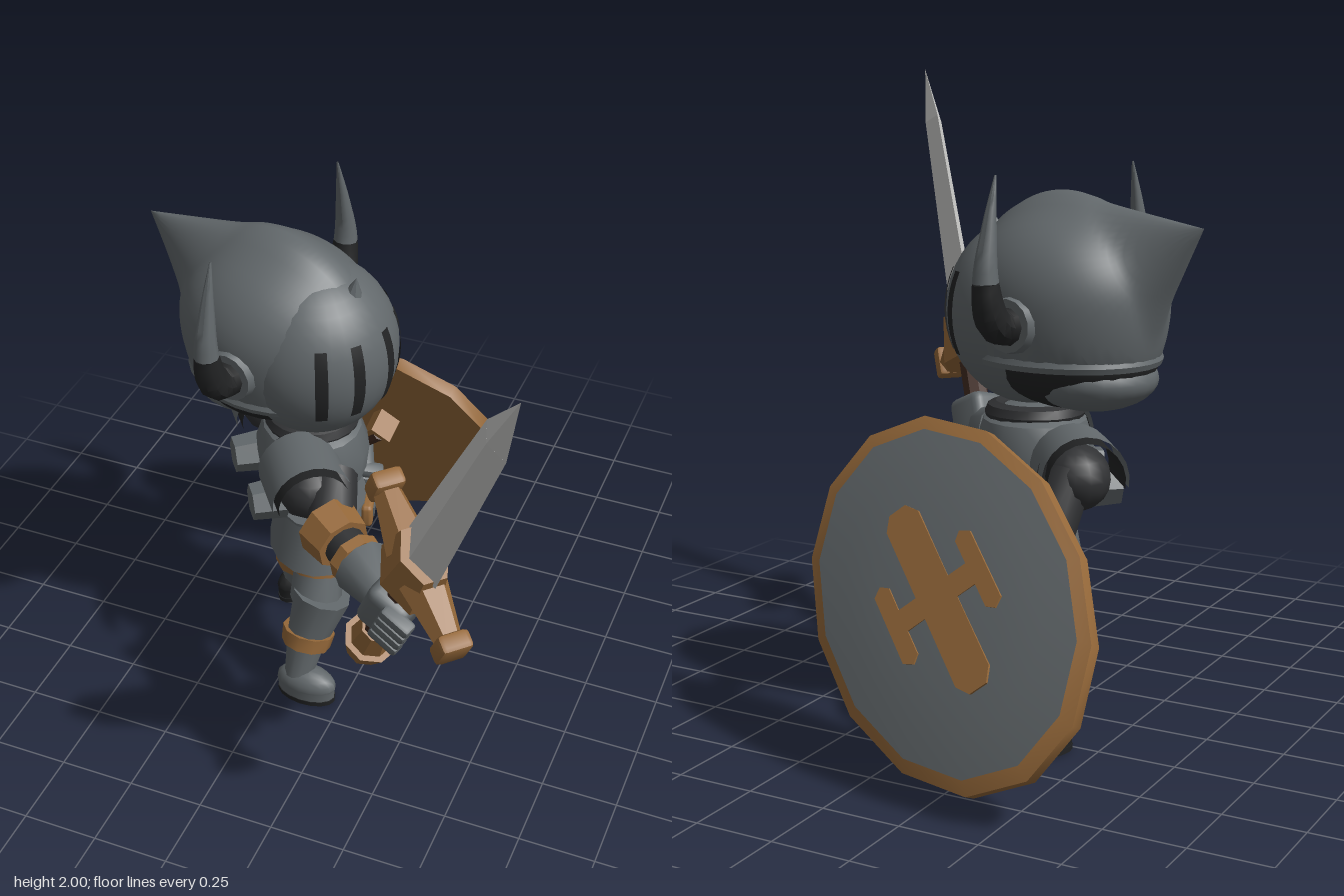
import * as THREE from 'three';
import { toCreasedNormals } from 'three/addons/utils/BufferGeometryUtils.js';
import { RoundedBoxGeometry } from 'three/addons/geometries/RoundedBoxGeometry.js';

const V = (x, y, z) => new THREE.Vector3(x, y, z);
const paint = (name, color, side = THREE.FrontSide) => Object.assign(new THREE.MeshStandardMaterial({ color, side }), { name });
const M = {
  armor: paint('armor grey', 0x62686b, THREE.DoubleSide),
  cloth: paint('dark cloth', 0x303133),
  black: paint('black', 0x222324, THREE.DoubleSide),
  bronze: paint('bronze', 0x96693a),
  leather: paint('leather', 0x432c22),
  blade: paint('blade steel', 0xcacac8),
};

function add(parent, name, geo, mat, x = 0, y = 0, z = 0) {
  const m = new THREE.Mesh(toCreasedNormals(geo, 0.65), mat);
  m.name = name;
  m.position.set(x, y, z);
  parent.add(m);
  return m;
}
function group(parent, name) {
  const g = new THREE.Group();
  g.name = name;
  parent.add(g);
  return g;
}
const ball = (rx, ry, rz, w = 24, h = 16) => new THREE.SphereGeometry(1, w, h).scale(rx, ry, rz);

// Tapered cylinder running from a to b
function limb(parent, name, a, b, r1, r2, mat, sides = 12) {
  const m = add(parent, name, new THREE.CylinderGeometry(r2, r1, a.distanceTo(b), sides), mat);
  m.position.copy(a).lerp(b, 0.5);
  m.quaternion.setFromUnitVectors(V(0, 1, 0), b.clone().sub(a).normalize());
  return m;
}
// Short ring around the line a-b, from fraction t0 to t1
const band = (parent, name, a, b, t0, t1, r1, r2, mat, sides = 10) =>
  limb(parent, name, a.clone().lerp(b, t0), a.clone().lerp(b, t1), r1, r2, mat, sides);

// Tube along part of a curve with a changing radius
function taperTube(points, t0, t1, radius) {
  const full = new THREE.CatmullRomCurve3(points), n = 10, sides = 10;
  const part = new THREE.CatmullRomCurve3(Array.from({ length: n + 1 }, (_, i) => full.getPoint(t0 + (t1 - t0) * i / n)));
  const geo = new THREE.TubeGeometry(part, n, 1, sides), p = geo.attributes.position;
  for (let i = 0; i < p.count; i++) {
    const t = Math.floor(i / (sides + 1)) / n, c = part.getPointAt(t);
    const v = V(0, 0, 0).fromBufferAttribute(p, i).sub(c).multiplyScalar(radius(t0 + (t1 - t0) * t)).add(c);
    p.setXYZ(i, v.x, v.y, v.z);
  }
  return geo;
}

function buildHead(root) {
  const head = group(root, 'helmet');
  head.position.set(-0.3, 1.36, -0.09);
  head.rotation.y = -0.17;

  // Dome with a low ridge, drawn out to a narrow swept-back point
  const dome = new THREE.SphereGeometry(1, 40, 44).rotateZ(1.117), p = dome.attributes.position;
  const axis = V(-0.899, 0.438, 0);
  for (let i = 0; i < p.count; i++) {
    const d = V(0, 0, 0).fromBufferAttribute(p, i);
    const away = Math.hypot(d.angleTo(axis), 1.6 * d.z);
    const w = Math.max(0, 1 - away / 0.75) ** 1.6;
    const ridge = 0.045 * Math.max(0, d.y) * Math.exp(-((d.z / 0.3) ** 2));
    p.setXYZ(i, d.x * 0.33 - 0.185 * w, Math.max(-0.19, d.y * (d.y < 0 ? 0.42 : 0.275) + ridge + 0.095 * w), d.z * 0.28);
  }
  add(head, 'dome', dome, M.armor);
  add(head, 'domeRim', new THREE.TorusGeometry(1, 0.05, 6, 32).rotateX(Math.PI / 2).scale(0.295, 0.4, 0.252), M.armor, 0, -0.175, 0);
  add(head, 'neckLining', ball(0.27, 0.165, 0.235), M.black, -0.03, -0.17, 0);
  add(head, 'neckGuard', ball(0.2, 0.1, 0.2), M.armor, -0.1, -0.235, 0);

  // Visor with eye slits
  const visor = group(head, 'visor');
  visor.position.set(0.13, -0.05, 0);
  add(visor, 'visorShell', ball(0.265, 0.29, 0.262, 32, 20), M.armor);
  const peak = add(visor, 'visorPeak', new THREE.ConeGeometry(0.06, 0.13, 8), M.armor, 0.14, 0.225, 0);
  peak.rotation.z = -0.2;
  for (const a of [-1.03, -0.57, -0.06, 0.47, 0.93])
    add(visor, 'eyeSlit', new THREE.SphereGeometry(1, 3, 8, Math.PI - a - 0.075, 0.15, 1.13, 0.89).scale(0.269, 0.294, 0.266), M.black);

  // Horns
  for (const s of [1, -1]) {
    const pts = [[-0.06, 0.25], [-0.04, 0.35], [0.08, 0.39], [0.23, 0.375], [0.385, 0.345]].map(([y, z]) => V(0, y, s * z));
    const r = t => 0.003 + 0.056 * (1 - Math.min(1, t) ** 1.5);
    add(head, 'hornBase', taperTube(pts, 0, 0.5, r), M.black);
    add(head, 'hornTip', taperTube(pts, 0.5, 1, r), M.armor);
    limb(head, 'hornSocket', V(0, -0.055, s * 0.2), V(0, -0.055, s * 0.295), 0.1, 0.08, M.armor, 14);
  }
}

// Half-round shell whose axis runs along z
const arch = (r, length) => new THREE.CylinderGeometry(r, r, length, 12, 1, true, Math.PI - 1.75, 3.5).rotateX(Math.PI / 2);

function buildBody(root) {
  // Chest twisted towards the shield side
  const chest = group(root, 'chest');
  chest.position.set(-0.2, 0, -0.1);
  chest.rotation.y = 0.65;
  add(chest, 'waist', new THREE.CylinderGeometry(0.155, 0.14, 0.18, 16).scale(1, 1, 1.1), M.cloth, 0, 0.75, 0);
  const plate = [[0.15, 0.79], [0.175, 0.81], [0.185, 0.9], [0.16, 0.98], [0.1, 1.02], [0, 1.03]].map(([x, y]) => new THREE.Vector2(x, y));
  add(chest, 'breastplate', new THREE.LatheGeometry(plate, 16).scale(1, 1, 1.1), M.armor);
  add(chest, 'collar', new THREE.TorusGeometry(0.12, 0.035, 8, 20).rotateX(Math.PI / 2), M.cloth, 0, 1.0, 0);
  for (const s of [1, -1]) {
    // Arched shoulder plates with a dark lining
    const z = s > 0 ? 0.22 : -0.3, y = s > 0 ? 0.905 : 0.87;
    add(chest, 'pauldron', arch(0.13, 0.2), M.armor, -0.08, y, z);
    add(chest, 'pauldronLining', arch(0.115, 0.24), M.black, -0.08, y, z);
    add(chest, 'shoulder', ball(0.105, 0.1, 0.12, 14, 10), M.cloth, -0.07, y - 0.01, z);
    limb(chest, 'backKnob', V(-0.13, 0.79, s * 0.13), V(-0.24, 0.79, s * 0.13), 0.07, 0.06, M.armor, 6);
  }

  // Hips, split skirt and belt
  const hips = group(root, 'hips');
  hips.position.set(-0.17, 0, -0.1);
  hips.rotation.y = 0.28;
  add(hips, 'shorts', new THREE.CylinderGeometry(0.13, 0.11, 0.2, 12).scale(1, 1, 1.25), M.cloth, 0, 0.58, 0);
  add(hips, 'skirt', new THREE.CylinderGeometry(0.148, 0.178, 0.165, 14, 1, true, Math.PI / 2 + 0.42, Math.PI * 2 - 0.84).scale(1, 1, 1.32), M.armor, 0, 0.6, 0);
  add(hips, 'belt', new THREE.CylinderGeometry(0.15, 0.152, 0.04, 14).scale(1, 1, 1.28), M.armor, 0, 0.67, 0);
  add(hips, 'buckle', new RoundedBoxGeometry(0.04, 0.085, 0.14, 2, 0.015), M.bronze, 0.155, 0.645, 0);
  add(hips, 'bucklePlate', new THREE.BoxGeometry(0.008, 0.035, 0.07), M.armor, 0.175, 0.645, 0);
}

function buildLeg(root, name, hip, knee, ankle, yaw, upper) {
  const leg = group(root, name);
  const ahead = V(Math.cos(yaw), 0, -Math.sin(yaw));
  limb(leg, 'thigh', hip, knee, 0.085, 0.07, M.cloth);
  band(leg, 'thighBand', hip, knee, 0.32, 0.5, 0.098, 0.09, M.bronze);
  band(leg, 'thighPlate', hip, knee, 0.48, 0.95, 0.08, 0.088, M.armor, 12);
  // Guard flaring forward over the knee
  const flare = knee.clone().addScaledVector(ahead, 0.025).add(V(0, 0.045, 0));
  limb(leg, 'kneeGuard', flare, knee.clone().lerp(ankle, 0.42), 0.1, 0.074, M.armor, 10);
  band(leg, 'calfBand', knee, ankle, 0.38, 0.57, 0.09, 0.084, M.bronze);
  band(leg, 'shin', knee, ankle, 0.5, 1.05, 0.068, 0.046, M.armor, 12);
  const foot = group(leg, 'boot');
  foot.position.set(ankle.x, 0, ankle.z);
  foot.rotation.y = yaw;
  add(foot, 'bootUpper', ball(0.108, 0.06, 0.06, 16, 10), upper, 0.03, 0.06, 0);
  add(foot, 'bootWelt', new THREE.CylinderGeometry(0.059, 0.057, 0.04, 16).scale(1.8, 1, 1), upper, 0.03, 0.036, 0);
  add(foot, 'sole', new THREE.CylinderGeometry(0.059, 0.058, 0.018, 16).scale(1.8, 1, 1), M.black, 0.03, 0.009, 0);
}

function buildArm(root, name, shoulder, elbow, hand) {
  const arm = group(root, name);
  limb(arm, 'upperArm', shoulder, elbow, 0.085, 0.075, M.cloth);
  add(arm, 'elbow', ball(0.078, 0.078, 0.078, 12, 8), M.cloth, ...elbow);
  limb(arm, 'forearm', elbow, hand, 0.07, 0.06, M.cloth);
  band(arm, 'elbowCuff', elbow, hand, -0.1, 0.2, 0.105, 0.092, M.bronze, 8);
  band(arm, 'wristCuff', elbow, hand, 0.36, 0.47, 0.088, 0.084, M.bronze, 8);
  band(arm, 'gauntlet', elbow, hand, 0.5, 0.9, 0.095, 0.07, M.armor);
  return arm;
}
// Closed hand whose fingers stack along local y
function buildFist(parent, x, y, z) {
  const fist = group(parent, 'fist');
  fist.position.set(x, y, z);
  add(fist, 'palm', new RoundedBoxGeometry(0.15, 0.21, 0.15, 2, 0.03), M.armor);
  for (let i = 0; i < 4; i++) add(fist, 'finger', new RoundedBoxGeometry(0.11, 0.046, 0.05, 1, 0.012), M.armor, 0.05, -0.077 + i * 0.052, 0.068);
  return fist;
}

function buildSword(root) {
  const sword = group(root, 'sword');
  const up = V(0.63, 1.54, 0.595).normalize(), side = V(0.36, -0.33, 0.35);
  side.addScaledVector(up, -side.dot(up)).normalize();
  sword.quaternion.setFromRotationMatrix(new THREE.Matrix4().makeBasis(side, up, side.clone().cross(up)));
  sword.position.set(0.15, 0.46, 0.31);
  add(sword, 'pommel', new THREE.CylinderGeometry(0.09, 0.06, 0.11, 8), M.bronze, 0, 0.035, 0);
  add(sword, 'pommelNeck', new THREE.CylinderGeometry(0.055, 0.07, 0.1, 8), M.bronze, 0, 0.14, 0);
  add(sword, 'grip', new THREE.CylinderGeometry(0.042, 0.045, 0.52, 8), M.leather, 0, 0.42, 0);
  add(sword, 'guardBlock', new THREE.CylinderGeometry(0.1, 0.13, 0.17, 6).scale(1, 1, 0.75), M.bronze, 0, 0.71, 0);
  for (const s of [1, -1]) {
    limb(sword, 'guardArm', V(s * 0.05, 0.7, 0), V(s * 0.26, 0.71, 0), 0.075, 0.04, M.bronze, 6);
    add(sword, 'guardEnd', new RoundedBoxGeometry(0.06, 0.11, 0.1, 1, 0.015), M.bronze, s * 0.26, 0.715, 0);
  }
  add(sword, 'blade', new THREE.CylinderGeometry(0.062, 0.1, 0.78, 4).scale(1, 1, 0.48), M.blade, 0, 1.16, 0);
  add(sword, 'bladeTip', new THREE.ConeGeometry(0.062, 0.215, 4).scale(1, 1, 0.48), M.blade, 0, 1.657, 0);
  buildFist(sword, 0, 0.39, 0).rotation.y = 0.5;
}

function buildShield(root) {
  const shield = group(root, 'shield');
  const n = V(0.08, 0.4, -0.91).normalize(), u = V(-1, 0, 0);
  u.addScaledVector(n, -u.dot(n)).normalize();
  shield.quaternion.setFromRotationMatrix(new THREE.Matrix4().makeBasis(u, n.clone().cross(u), n));
  shield.rotateZ(0.7);
  shield.position.set(-0.22, 0.54, -0.645);
  const disc = pts => new THREE.LatheGeometry(pts.map(([r, h]) => new THREE.Vector2(r, h)), 14).rotateX(Math.PI / 2).scale(0.435, 0.585, 1);
  add(shield, 'rimAndBack', disc([[0, 0], [1, 0], [1, 0.045], [0.92, 0.058]]), M.bronze);
  add(shield, 'face', disc([[0.92, 0.058], [0.7, 0.072], [0.45, 0.081], [0.2, 0.085], [0, 0.086]]), M.armor);
  // Cross emblem with barred arms
  const q = [[0.03, 0.3], [0.06, 0.26], [0.06, 0.035], [0.125, 0.035], [0.125, 0.11], [0.15, 0.13], [0.18, 0.11]];
  const right = [...q, ...q.map(([x, y]) => [x, -y]).reverse()];
  const pts = [...right, ...right.map(([x, y]) => [-x, y]).reverse()].map(([x, y]) => new THREE.Vector2(x, y));
  add(shield, 'emblem', new THREE.ExtrudeGeometry(new THREE.Shape(pts), { depth: 0.009, bevelEnabled: false }), M.bronze, 0, 0, 0.0795);
  limb(shield, 'handle', V(0.03, -0.2, -0.07), V(0.03, 0.2, -0.07), 0.028, 0.028, M.leather, 8);
  for (const y of [-0.19, 0.19]) add(shield, 'handleMount', new THREE.BoxGeometry(0.08, 0.06, 0.09), M.bronze, 0.03, y, -0.045);
}

export function createModel() {
  const root = new THREE.Group();
  root.name = 'hornedKnight';
  buildHead(root);
  buildBody(root);
  buildLeg(root, 'leftLeg', V(-0.14, 0.58, -0.01), V(-0.13, 0.35, 0.06), V(-0.16, 0.08, 0.15), -0.05, M.armor);
  buildLeg(root, 'rightLeg', V(-0.23, 0.58, -0.2), V(-0.31, 0.35, -0.25), V(-0.365, 0.08, -0.31), 1.0, M.black);
  buildArm(root, 'leftArm', V(-0.06, 0.92, 0.08), V(0.01, 0.84, 0.24), V(0.28, 0.8, 0.43));
  const shieldArm = buildArm(root, 'rightArm', V(-0.42, 0.88, -0.33), V(-0.41, 0.7, -0.42), V(-0.29, 0.47, -0.55));
  buildFist(shieldArm, -0.27, 0.45, -0.56).rotation.set(0.4, 0.4, -0.5);
  buildSword(root);
  buildShield(root);
  return root;
}
